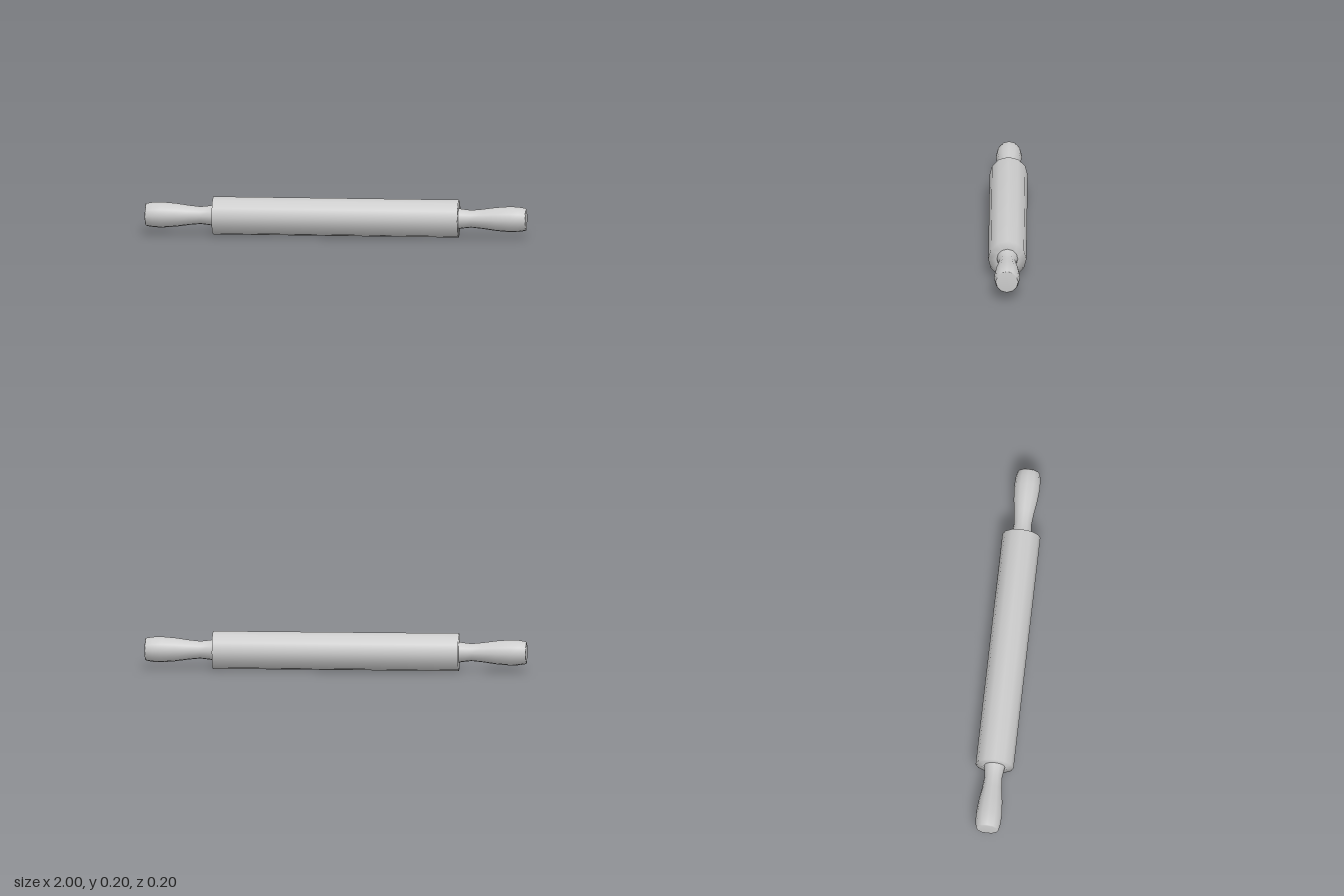
import * as THREE from 'three';

const SIDES = 12;
const material = new THREE.MeshStandardMaterial({ color: 0xcccccc });

// Turned part: profile of [radius, distance along x], spun around the x axis
function turned(name, profile) {
  const points = profile.map(([r, x]) => new THREE.Vector2(r, x));
  const geometry = new THREE.LatheGeometry(points, SIDES);
  geometry.rotateZ(-Math.PI / 2);
  const mesh = new THREE.Mesh(geometry, material);
  mesh.name = name;
  return mesh;
}

export function createModel() {
  const group = new THREE.Group();
  group.name = 'rollingPin';

  // Roller with softly shaded flat ends
  const half = 0.645, radius = 0.1, neck = 0.05;
  const roller = turned('roller', [
    [neck, -half], [radius, -half], [radius, half], [neck, half],
  ]);
  group.add(roller);

  // Handles: flared foot, slim neck, swelling grip, rounded end
  const handleProfile = [
    [0.056, 0.64], [0.052, 0.66], [0.046, 0.71], [0.052, 0.77],
    [0.062, 0.84], [0.068, 0.915], [0.066, 0.96], [0.06, 0.995],
    [0.056, 1], [0, 1],
  ];
  for (const side of [1, -1]) {
    const handle = turned(side > 0 ? 'leftHandle' : 'rightHandle', handleProfile);
    if (side < 0) handle.rotation.y = Math.PI;
    group.add(handle);
  }

  // Rest the roller on the ground
  for (const part of group.children) part.position.y = radius;
  return group;
}
